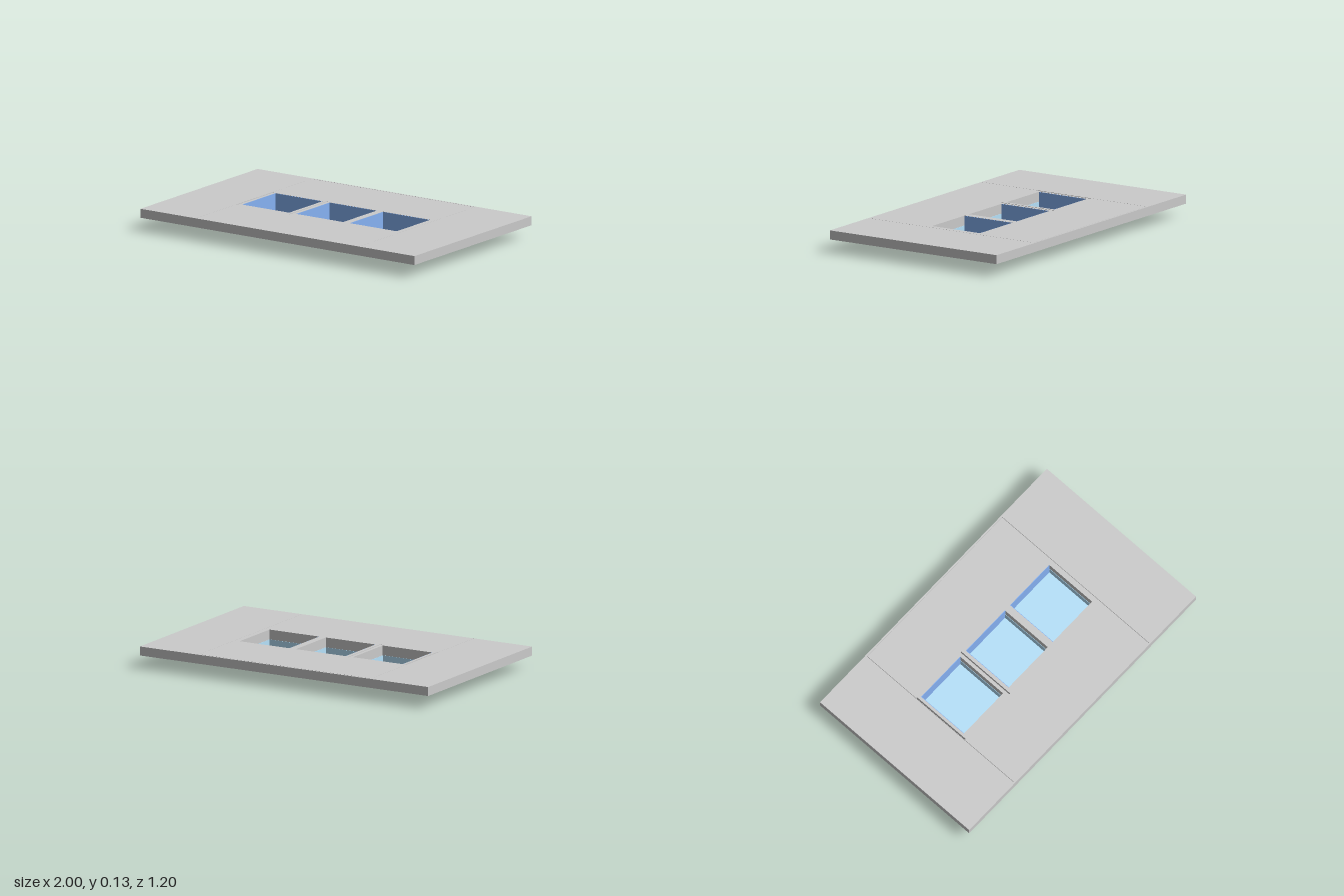
import * as THREE from 'three';

const grey = new THREE.MeshStandardMaterial({ color: 0xcccccc });
const wallBlue = new THREE.MeshStandardMaterial({ color: 0x87b3f5 });
const floorBlue = new THREE.MeshStandardMaterial({ color: 0xb6e2fb });

const TOP = 0.13, DECK_BOTTOM = 0.095, SKIRT_BOTTOM = 0.075;
const Z0 = -0.18, Z1 = 0.165; // basin openings, back to front

// box given by its limits on each axis
function block(parent, name, material, [x0, x1], [y0, y1], [z0, z1]) {
  const mesh = new THREE.Mesh(new THREE.BoxGeometry(x1 - x0, y1 - y0, z1 - z0), material);
  mesh.position.set((x0 + x1) / 2, (y0 + y1) / 2, (z0 + z1) / 2);
  mesh.name = name;
  parent.add(mesh);
}

// rectangle in plan; shape y is -z
function rect(PathType, x0, x1, z0, z1) {
  return new PathType([[x0, z0], [x0, z1], [x1, z1], [x1, z0]].map(([x, z]) => new THREE.Vector2(x, -z)));
}

export function createModel() {
  const model = new THREE.Group();
  model.name = 'poolDeck';

  // outer limits and inner opening of each basin, left to right
  const basins = [
    { outer: [-0.588, -0.204], inner: [-0.57, -0.225] },
    { outer: [-0.196, 0.196], inner: [-0.175, 0.17] },
    { outer: [0.196, 0.59], inner: [0.215, 0.56] },
  ];

  // middle deck panel with basin openings and two narrow slits
  const plan = rect(THREE.Shape, -0.596, 0.594, -0.588, 0.59);
  for (const { inner } of basins) plan.holes.push(rect(THREE.Path, ...inner, Z0, Z1));
  for (const x of [-0.595, -0.204]) plan.holes.push(rect(THREE.Path, x, x + 0.007, -0.197, 0.197));
  const deck = new THREE.Mesh(
    new THREE.ExtrudeGeometry(plan, { depth: TOP - DECK_BOTTOM, bevelEnabled: false }), grey);
  deck.rotation.x = -Math.PI / 2;
  deck.position.y = DECK_BOTTOM;
  deck.name = 'middleDeckPanel';
  model.add(deck);

  // side panels
  block(model, 'rightDeckPanel', grey, [-0.99, -0.598], [DECK_BOTTOM, TOP], [-0.59, 0.59]);
  block(model, 'leftDeckPanel', grey, [0.596, 0.99], [DECK_BOTTOM, TOP], [-0.59, 0.59]);

  // thin skirt around the edge
  for (const s of [-1, 1]) {
    const span = (a, b) => (s > 0 ? [a, b] : [-b, -a]);
    block(model, 'endSkirt', grey, span(0.99, 1), [SKIRT_BOTTOM, TOP], [-0.6, 0.6]);
    block(model, 'longSkirt', grey, [-0.99, 0.99], [SKIRT_BOTTOM, TOP], span(0.59, 0.6));
  }

  // basins hanging below the deck
  for (const { outer, inner } of basins) {
    const basin = new THREE.Group();
    basin.name = 'basin';
    model.add(basin);
    const [a, b] = inner;
    const height = [0, DECK_BOTTOM];
    block(basin, 'basinSide', grey, [outer[0], a], height, [-0.195, 0.197]);
    block(basin, 'basinSide', grey, [b, outer[1]], height, [-0.195, 0.197]);
    block(basin, 'basinBack', grey, inner, height, [-0.195, Z0]);
    block(basin, 'basinFront', grey, inner, height, [Z1, 0.197]);
    block(basin, 'basinBase', grey, inner, [0, 0.005], [Z0, Z1]);

    // coloured lining: full height at two sides, low at the others
    block(basin, 'floorLining', floorBlue, inner, [0.005, 0.011], [Z0, Z1]);
    block(basin, 'sideLining', wallBlue, [a, a + 0.003], [0.011, TOP - 0.001], [Z0, Z1]);
    block(basin, 'backLining', wallBlue, [a + 0.003, b], [0.011, TOP - 0.001], [Z0, Z0 + 0.003]);
    block(basin, 'lowSideLining', floorBlue, [b - 0.002, b], [0.011, 0.07], [Z0 + 0.003, Z1]);
    block(basin, 'lowFrontLining', floorBlue, [a + 0.003, b - 0.002], [0.011, 0.07], [Z1 - 0.002, Z1]);
  }
  return model;
}
